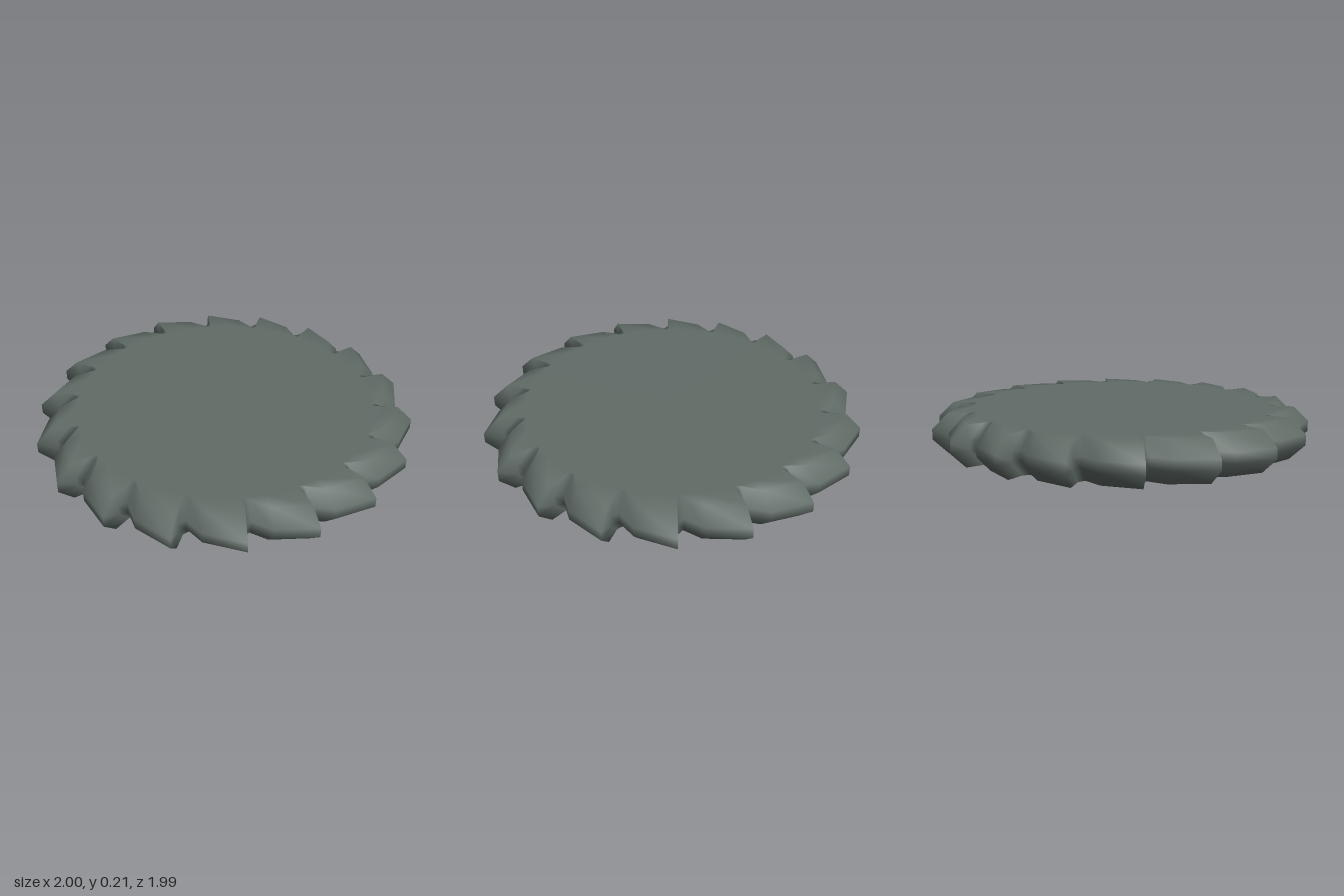
import * as THREE from 'three';

const TEETH = 18;
const HEIGHT = 0.21;
// One tooth going clockwise from above: [degrees after the tip, radius]
const TOOTH = [[0, 1.0], [12.2, 0.936], [17.9, 0.862], [19.75, 0.897]];

// Toothed outline as polar points
function outline() {
  const points = [];
  for (let t = 0; t < TEETH; t++) {
    for (const [deg, r] of TOOTH) {
      points.push([THREE.MathUtils.degToRad(6 + (t * 360) / TEETH + deg), r]);
    }
  }
  return points;
}

// Skins rings, listed from the top centre outward and down to the bottom centre
function skinRings(points, rings) {
  const n = points.length;
  const positions = [];
  const index = [];
  for (const { y, radius } of rings) {
    for (const [a, r] of points) {
      positions.push(radius(r) * Math.sin(a), y, -radius(r) * Math.cos(a));
    }
  }
  for (let i = 0; i < rings.length - 1; i++) {
    for (let j = 0; j < n; j++) {
      const k = (j + 1) % n;
      const a = i * n + j, b = i * n + k, c = a + n, d = b + n;
      if (i > 0) index.push(a, b, c);
      if (i < rings.length - 2) index.push(b, d, c);
      // The two caps are fans, so each keeps one triangle per step
      if (i === 0 && rings.length < 3) index.push(a, b, c);
    }
  }
  const geometry = new THREE.BufferGeometry();
  geometry.setAttribute('position', new THREE.Float32BufferAttribute(positions, 3));
  geometry.setIndex(index);
  geometry.computeVertexNormals();
  return geometry;
}

export function createModel() {
  const group = new THREE.Group();
  group.name = 'sawBlade';
  const steel = new THREE.MeshStandardMaterial({ color: 0x616c67 });
  steel.name = 'dark steel';

  const centre = () => 0;
  const disc = () => 0.78;
  const bevelled = (r) => r * 0.92;
  const full = (r) => r;

  // Flat caps, bevelled shoulders and a narrow toothed rim
  const blade = new THREE.Mesh(skinRings(outline(), [
    { y: HEIGHT, radius: centre },
    { y: HEIGHT, radius: disc },
    { y: HEIGHT, radius: bevelled },
    { y: 0.132, radius: full },
    { y: 0.078, radius: full },
    { y: 0, radius: bevelled },
    { y: 0, radius: disc },
    { y: 0, radius: centre },
  ]), steel);
  blade.name = 'toothedBlade';
  group.add(blade);
  return group;
}
